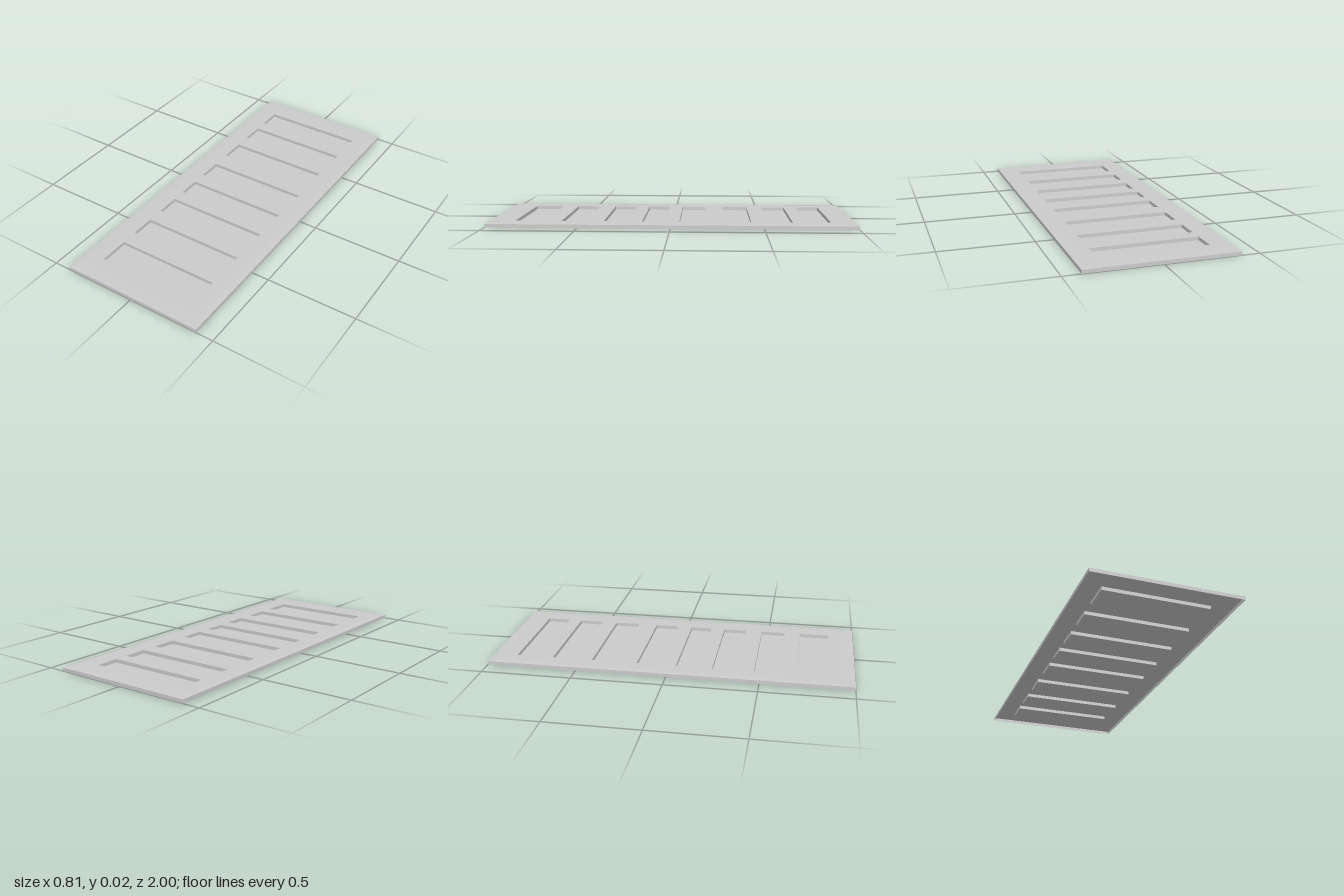
import * as THREE from 'three';

const TOP = 0.0212, EDGE = 0.0195, FLOOR = 0.002;
const X0 = -0.294, X1 = 0.287;
// z start and end of each pressed-in slot, back to front
const SLOTS = [
  [-0.867, -0.735], [-0.66, -0.525], [-0.435, -0.289], [-0.181, -0.045],
  [0.037, 0.159], [0.237, 0.369], [0.464, 0.6], [0.692, 0.857],
];

const rect = (x0, x1, z0, z1) => [[x0, z0], [x1, z0], [x1, z1], [x0, z1]];

// Flat-shaded strip of quads joining two four-cornered loops, from (loop, y) to (loop, y)
function band(a, ya, b, yb) {
  const pos = [];
  for (let i = 0; i < 4; i++) {
    const j = (i + 1) % 4;
    const p = [a[i][0], ya, a[i][1]], q = [a[j][0], ya, a[j][1]];
    const r = [b[j][0], yb, b[j][1]], s = [b[i][0], yb, b[i][1]];
    pos.push(...p, ...r, ...q, ...p, ...s, ...r);
  }
  const g = new THREE.BufferGeometry();
  g.setAttribute('position', new THREE.Float32BufferAttribute(pos, 3));
  g.computeVertexNormals();
  return g;
}

// Horizontal sheet facing up, with optional rectangular holes
function sheet(outline, y, holes = []) {
  const toPoints = (loop) => loop.map(([x, z]) => new THREE.Vector2(x, -z));
  const shape = new THREE.Shape(toPoints(outline));
  holes.forEach((h) => shape.holes.push(new THREE.Path(toPoints(h))));
  return new THREE.ShapeGeometry(shape).rotateX(-Math.PI / 2).translate(0, y, 0);
}

export function createModel() {
  const model = new THREE.Group();
  model.name = 'slottedPanel';
  const material = new THREE.MeshStandardMaterial({ color: 0xcccccc, side: THREE.DoubleSide });
  const add = (parent, name, geometry) => {
    const mesh = new THREE.Mesh(geometry, material);
    mesh.name = name;
    parent.add(mesh);
  };

  const outer = rect(-0.404, 0.404, -1, 1);
  const inner = rect(-0.37, 0.37, -0.94, 0.94);
  const slots = SLOTS.map(([z0, z1]) => rect(X0, X1, z0, z1));

  // Thin shell: pierced top, slightly sloping border and a skirt, open below
  add(model, 'topSheet', sheet(inner, TOP, slots));
  add(model, 'slopingBorder', band(inner, TOP, outer, EDGE).scale(1, 1, 1));
  add(model, 'skirt', band(outer, EDGE, outer, 0));

  // Recessed trays hanging from the top sheet
  slots.forEach((loop, i) => {
    const tray = new THREE.Group();
    tray.name = `tray${i + 1}`;
    add(tray, 'trayWalls', band(loop, FLOOR, loop, TOP));
    add(tray, 'trayFloor', sheet(loop, FLOOR));
    model.add(tray);
  });
  return model;
}
